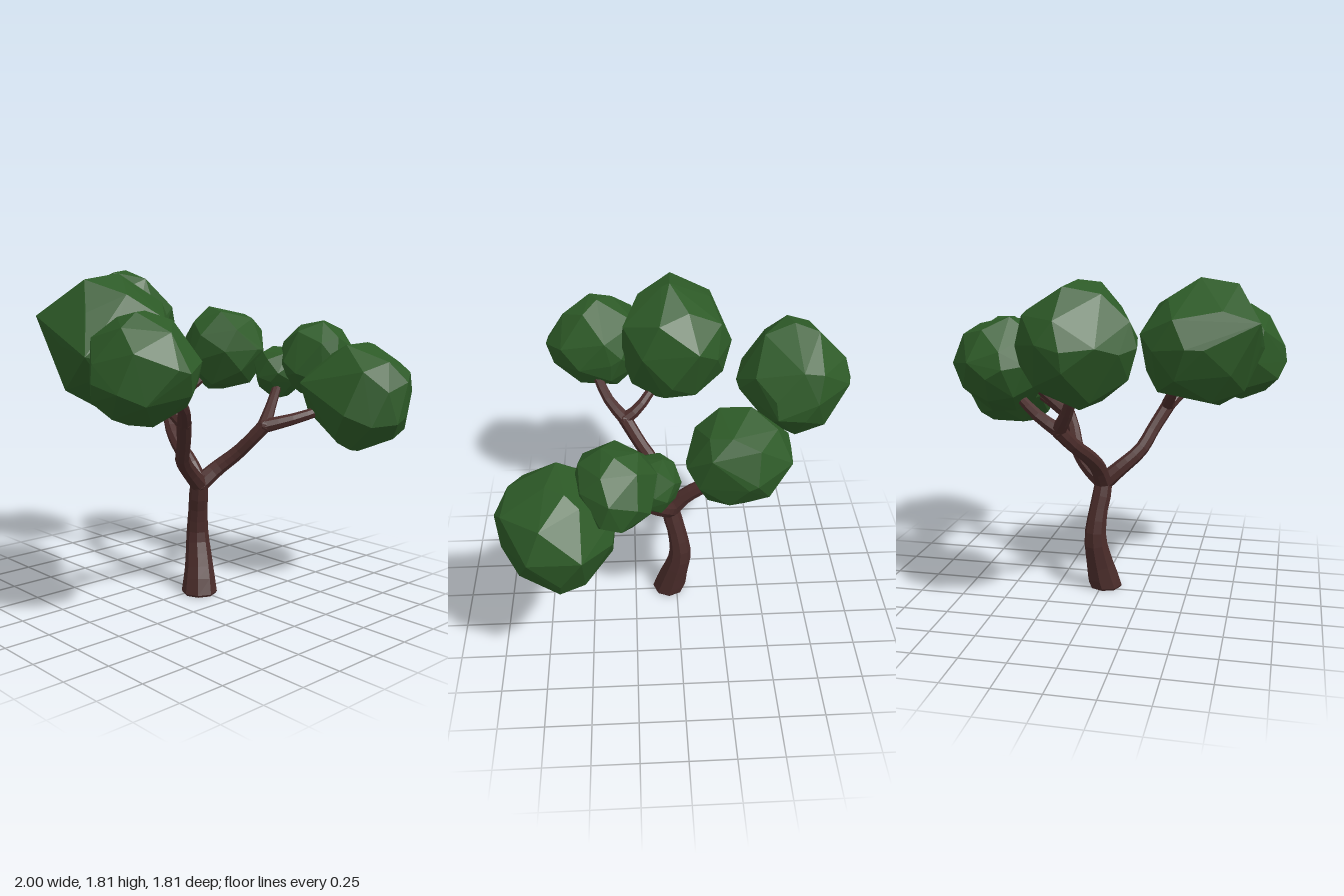
import * as THREE from 'three';
import { ConvexGeometry } from 'three/addons/geometries/ConvexGeometry.js';

const V = (p) => new THREE.Vector3(...p);
const bark = new THREE.MeshStandardMaterial({ color: 0x4a2c2a, flatShading: true });
const leaf = new THREE.MeshStandardMaterial({ color: 0x2d5a27, flatShading: true });

function seeded(seed) {
  let s = seed * 7919 + 17;
  return () => (s = (s * 16807) % 2147483647) / 2147483647;
}

// Tapered limb: points are [x, y, z, radius]
function limb(name, points, segments) {
  const curve = new THREE.CatmullRomCurve3(points.map((p) => V(p.slice(0, 3))));
  const sides = 8;
  const geo = new THREE.TubeGeometry(curve, segments, 1, sides);
  const pos = geo.attributes.position;
  const v = new THREE.Vector3();
  for (let i = 0; i <= segments; i++) {
    const u = i / segments;
    const c = curve.getPointAt(u);
    const t = curve.getUtoTmapping(u) * (points.length - 1);
    const k = Math.min(Math.floor(t), points.length - 2);
    const r = THREE.MathUtils.lerp(points[k][3], points[k + 1][3], t - k);
    for (let j = 0; j <= sides; j++) {
      const n = i * (sides + 1) + j;
      v.fromBufferAttribute(pos, n).sub(c).multiplyScalar(r).add(c);
      pos.setXYZ(n, v.x, v.y, v.z);
    }
  }
  const mesh = new THREE.Mesh(geo, bark);
  mesh.name = name;
  return mesh;
}

// Rounded joint that closes the limbs where they fork
function knot(name, [x, y, z, r]) {
  const mesh = new THREE.Mesh(new THREE.IcosahedronGeometry(r * 1.02, 1), bark);
  mesh.position.set(x, y, z);
  mesh.name = name;
  return mesh;
}

// Faceted leaf clump: scattered sphere points fitted to a box, plus jutting corners
function clump(name, min, max, corners, seed) {
  const rand = seeded(seed);
  const count = 28;
  const points = [];
  for (let i = 0; i < count; i++) {
    const y = 1 - (2 * (i + 0.5)) / count;
    const a = i * 2.39996 + seed;
    const r = Math.sqrt(1 - y * y);
    const p = new THREE.Vector3(r * Math.cos(a), y, r * Math.sin(a));
    p.x += (rand() - 0.5) * 0.3;
    p.y += (rand() - 0.5) * 0.3;
    p.z += (rand() - 0.5) * 0.3;
    points.push(p.setLength(0.97 + rand() * 0.08));
  }
  const hull = new THREE.Box3().setFromPoints(points);
  const from = hull.getCenter(new THREE.Vector3());
  const box = new THREE.Box3(V(min), V(max));
  const scale = box.getSize(new THREE.Vector3()).divide(hull.getSize(new THREE.Vector3()));
  const center = box.getCenter(new THREE.Vector3());
  points.forEach((p) => p.sub(from).multiply(scale).multiplyScalar(0.99));
  corners.forEach((c) => points.push(V(c).sub(center)));
  const mesh = new THREE.Mesh(new ConvexGeometry(points), leaf);
  mesh.position.copy(center);
  mesh.name = name;
  return mesh;
}

export function createModel() {
  const tree = new THREE.Group();
  tree.name = 'tree';

  // Trunk, flared at the foot, with a closed underside
  const trunk = limb('trunk', [
    [-0.02, 0.01, 0.045, 0.1], [0.005, 0.15, 0.015, 0.08], [0.025, 0.32, -0.02, 0.063],
    [0.01, 0.48, 0, 0.053], [-0.01, 0.6, 0.03, 0.055], [-0.01, 0.69, 0.04, 0.035],
  ], 10);
  const ring = trunk.geometry.attributes.position;
  const rim = [];
  for (let j = 0; j < 8; j++) {
    ring.setY(j, 0.012);
    rim.push(new THREE.Vector3().fromBufferAttribute(ring, j));
  }
  ring.setY(8, 0.012);
  rim.push(...rim.map((p) => new THREE.Vector3(-0.02 + (p.x + 0.02) * 0.93, 0, 0.045 + (p.z - 0.045) * 0.93)));
  const foot = new THREE.Mesh(new ConvexGeometry(rim), bark);
  foot.name = 'trunkFoot';
  tree.add(trunk, foot);

  // Three main branches, each forking into two twigs
  const fork = [-0.01, 0.63, 0.035, 0.052];
  const rightFork = [-0.34, 1.04, 0.28, 0.04];
  const leftFork = [0.25, 0.96, 0.28, 0.04];
  const backFork = [0.14, 1.02, -0.39, 0.04];
  tree.add(
    knot('trunkFork', fork),
    knot('rightFork', rightFork),
    knot('leftFork', leftFork),
    knot('backFork', backFork),
    limb('rightBranch', [fork, [-0.1, 0.71, 0.06, 0.045], [-0.21, 0.81, 0.12, 0.04],
      [-0.27, 0.92, 0.2, 0.038], rightFork], 10),
    limb('rightFrontTwig', [rightFork, [-0.42, 1.12, 0.37, 0.032], [-0.58, 1.26, 0.46, 0.025]], 5),
    limb('rightBackTwig', [rightFork, [-0.36, 1.1, 0.2, 0.032], [-0.47, 1.26, 0.06, 0.025]], 5),
    limb('leftBranch', [fork, [0.09, 0.71, 0.07, 0.045], [0.17, 0.8, 0.15, 0.04],
      [0.21, 0.89, 0.23, 0.038], leftFork], 10),
    limb('leftFrontTwig', [leftFork, [0.37, 1, 0.39, 0.032], [0.56, 1.07, 0.52, 0.025]], 5),
    limb('leftBackTwig', [leftFork, [0.34, 1.05, 0.24, 0.03], [0.49, 1.2, 0.17, 0.024]], 5),
    limb('backBranch', [fork, [0, 0.74, -0.06, 0.045], [0.025, 0.84, -0.2, 0.04],
      [0.08, 0.93, -0.32, 0.038], backFork], 10),
    limb('backTwig', [backFork, [0.08, 1.12, -0.45, 0.033], [0.01, 1.3, -0.55, 0.025]], 5),
    limb('backSideTwig', [backFork, [0.25, 1.09, -0.38, 0.033], [0.4, 1.21, -0.32, 0.025]], 5),
  );

  // Leaf clumps: name, box corners, jutting corners
  [
    ['rightBackLeaves', [-0.87, 1.1, -0.33], [-0.25, 1.77, 0.29],
      [[-0.54, 1.79, 0.01], [-0.74, 1.76, 0], [-0.24, 1.5, -0.14], [-0.87, 1.58, -0.24],
        [-0.88, 1.4, 0.19], [-0.5, 1.45, -0.34], [-0.3, 1.2, 0.05]]],
    ['rightFrontLeaves', [-0.99, 1.08, 0.17], [-0.46, 1.62, 0.72],
      [[-0.69, 1.35, 0.73], [-0.46, 1.32, 0.35], [-0.7, 1.62, 0.42], [-1, 1.3, 0.4]]],
    ['backLeaves', [-0.3, 1.19, -0.9], [0.27, 1.8, -0.32],
      [[-0.02, 1.81, -0.6], [-0.32, 1.5, -0.68], [0.28, 1.42, -0.5], [0.27, 1.5, -0.7],
        [0, 1.5, -0.31], [0, 1.5, -0.91]]],
    ['backSideLeaves', [0.22, 1.09, -0.55], [0.72, 1.6, -0.02],
      [[0.39, 1.35, -0.55], [0.58, 1.38, -0.53], [0.72, 1.35, -0.35], [0.5, 1.35, -0.02]]],
    ['smallLeaves', [0.36, 1.09, 0], [0.66, 1.38, 0.28], []],
    ['leftMiddleLeaves', [0.4, 1.09, 0.12], [0.86, 1.53, 0.53], []],
    ['leftFrontLeaves', [0.39, 0.83, 0.32], [0.98, 1.41, 0.89],
      [[1, 1.16, 0.48], [0.39, 1.2, 0.41], [0.39, 1.05, 0.72], [0.93, 0.91, 0.6],
        [0.55, 1.41, 0.6], [0.8, 1.41, 0.55], [0.7, 1.22, 0.9], [0.62, 1, 0.9],
        [0.54, 0.84, 0.65], [0.82, 0.84, 0.58]]],
  ].forEach(([name, min, max, corners], i) => tree.add(clump(name, min, max, corners, i + 1)));

  return tree;
}
